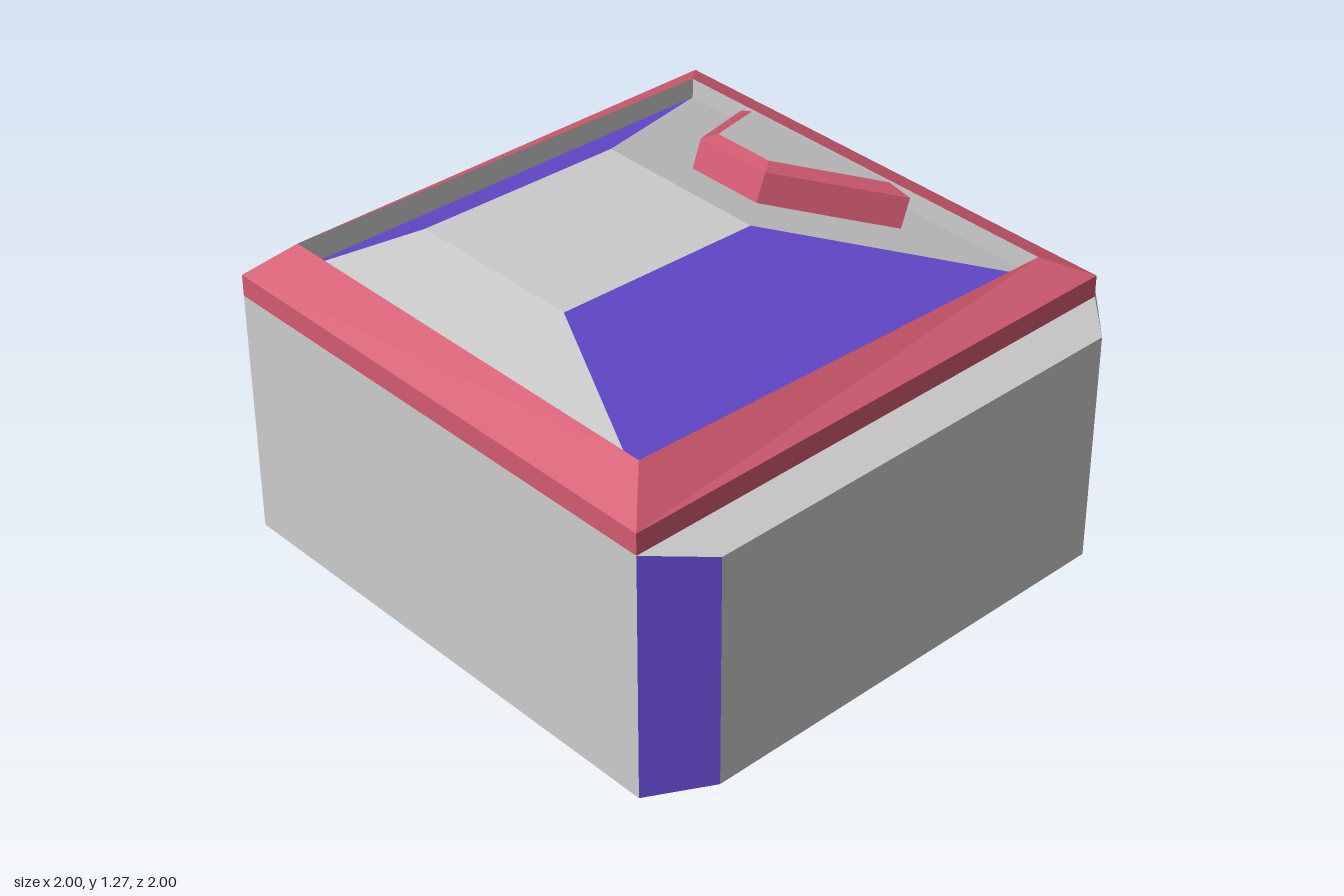
import * as THREE from 'three';

const paint = (color) => new THREE.MeshStandardMaterial({ color, flatShading: true });
const grey = paint(0xcccccc);
const purple = paint(0x664ad2);
const red = paint(0xd25a70);

// Four-cornered ring: low end at x1, high end at x0, mirrored in z
// (counter-clockwise seen from above)
const ring4 = (x0, y0, z0, x1, y1, z1) => [
  [x1, y1, z1], [x1, y1, -z1], [x0, y0, -z0], [x0, y0, z0],
];

// Flat-sided mesh from polygons, each split as a fan
function panels(name, material, polygons) {
  const pos = [];
  for (const p of polygons) {
    for (let i = 1; i < p.length - 1; i++) {
      const [a, b, c] = [p[0], p[i], p[i + 1]];
      const same = (u, v) => u.every((n, k) => n === v[k]);
      if (same(a, b) || same(b, c) || same(a, c)) continue;
      pos.push(...a, ...b, ...c);
    }
  }
  const geo = new THREE.BufferGeometry();
  geo.setAttribute('position', new THREE.Float32BufferAttribute(pos, 3));
  geo.computeVertexNormals();
  const mesh = new THREE.Mesh(geo, material);
  mesh.name = name;
  return mesh;
}

// One quad per side between two matching rings
const band = (a, b) => a.map((p, i) => {
  const j = (i + 1) % a.length;
  return [p, a[j], b[j], b[i]];
});

function assembly(name, ...meshes) {
  const group = new THREE.Group();
  group.name = name;
  group.add(...meshes);
  return group;
}

export function createModel() {
  const even = (_, i) => i % 2 === 0;
  const odd = (_, i) => i % 2 === 1;

  // Main block: eight-sided plan, taller at the two -x corners
  const plan = [
    [1, 0.79], [1, -0.79], [0.79, -1], [-0.79, -1],
    [-1, -0.885], [-1, 0.885], [-0.79, 1], [0.79, 1],
  ];
  const foot = plan.map(([x, z]) => [x, 0, z]);
  const shoulder = plan.map(([x, z]) => [x, x === -1 ? 0.87 : 0.82, z]);
  const rimFoot = ring4(-1, 0.87, 0.885, 0.885, 0.87, 0.885);
  const ledgeTop = [0, 1, 1, 2, 2, 3, 3, 0].map((i) => rimFoot[i]);
  const walls = band(foot, shoulder);
  const base = assembly('base',
    panels('walls', grey, walls.filter(even)),
    panels('cornerPanels', purple, walls.filter(odd)),
    panels('ledge', grey, band(shoulder, ledgeTop)),
    panels('underside', grey, [[...foot].reverse()]));

  // Rim: upright band, bevel, then a drop inside to the roof
  const rimTop = ring4(-1, 0.945, 0.885, 0.885, 0.945, 0.885);
  const crest = ring4(-0.875, 1.06, 0.76, 0.755, 1.01, 0.76);
  const gutter = ring4(-0.875, 0.97, 0.76, 0.755, 0.94, 0.76);
  const rim = assembly('rim',
    panels('rimBand', red, band(rimFoot, rimTop)),
    panels('rimBevel', red, band(rimTop, crest)),
    panels('rimInnerWall', grey, band(crest, gutter)));

  // Hipped roof with purple slopes front and back
  const ridge = ring4(-0.74, 1.26, 0.305, -0.015, 1.24, 0.305);
  const slopes = band(gutter, ridge);
  const roof = assembly('roof',
    panels('endSlopes', grey, slopes.filter(even)),
    panels('sideSlopes', purple, slopes.filter(odd)),
    panels('roofTop', grey, [ridge]));

  // Raised hatch on the long slope
  const hatchFoot = ring4(0.17, 1.165, 0.14, 0.565, 1.015, 0.37);
  const hatchEdge = ring4(0.205, 1.26, 0.14, 0.6, 1.11, 0.37);
  const hatchTop = ring4(0.25, 1.27, 0.11, 0.58, 1.143, 0.3);
  const hatch = assembly('hatch',
    panels('hatchSides', red, band(hatchFoot, hatchEdge)),
    panels('hatchBevel', red, band(hatchEdge, hatchTop)),
    panels('hatchPanel', grey, [hatchTop]));

  return assembly('model', base, rim, roof, hatch);
}
